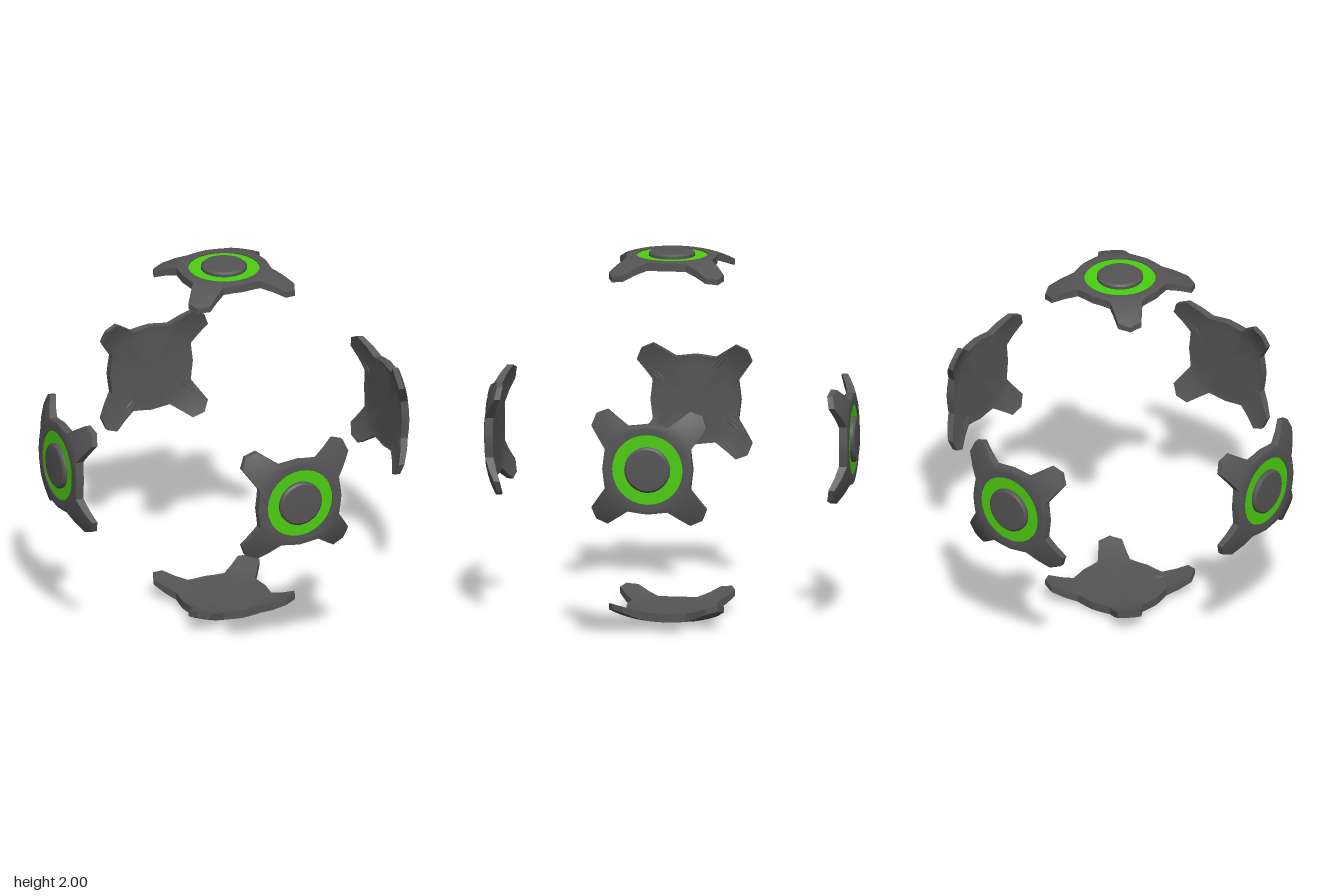
import * as THREE from 'three';
import { toCreasedNormals } from 'three/addons/utils/BufferGeometryUtils.js';

// One quarter of the four-armed outline; the rest is made by rotation
const QUARTER = [[0.243, 0], [0.23, 0.107], [0.31, 0.222], [0.285, 0.285], [0.222, 0.31], [0.107, 0.23]];
const RING_OUTER = 0.19;
const FLOOR = 0.971;

// Outline points around the whole plate, each edge split in two
function outline() {
  const corners = [];
  for (let q = 0; q < 4; q++) {
    const c = Math.round(Math.cos(q * Math.PI / 2)), s = Math.round(Math.sin(q * Math.PI / 2));
    for (const [x, y] of QUARTER) corners.push([x * c - y * s, x * s + y * c]);
  }
  return corners.flatMap((p, i) => {
    const n = corners[(i + 1) % corners.length];
    return [p, [(p[0] + n[0]) / 2, (p[1] + n[1]) / 2]];
  });
}

// The hub is flat, the arms bend inwards
function drop(r) {
  const d = Math.max(0, r - 0.23);
  return 0.25 * d + 1.1 * d * d;
}
const outerHeight = (r) => 0.979 - drop(r);
const innerHeight = (r) => 0.934 - 0.8 * drop(r);

// Closed shell built from loops: recess floor, recess wall, top, rim, underside
function plateGeometry() {
  const edge = outline();
  const n = edge.length;
  const steps = 5;
  const loops = [];
  const circle = (r, z) => edge.map(([x, y]) => {
    const k = r / Math.hypot(x, y);
    return [x * k, y * k, z];
  });
  loops.push(circle(0.0001, FLOOR), circle(RING_OUTER, FLOOR));
  for (let i = 0; i <= steps; i++) {
    const t = i / steps;
    loops.push(edge.map(([x, y]) => {
      const R = Math.hypot(x, y);
      const r = RING_OUTER + (R - RING_OUTER) * t;
      return [x * r / R, y * r / R, outerHeight(r)];
    }));
  }
  for (const t of [1, 0.9, 0.8, 0.7, 0.6, 0.0004]) {
    loops.push(edge.map(([x, y]) => [x * t, y * t, innerHeight(Math.hypot(x, y) * t)]));
  }
  const index = [];
  for (let j = 0; j < loops.length - 1; j++) {
    for (let i = 0; i < n; i++) {
      const k = (i + 1) % n;
      const a = j * n + i, b = j * n + k, c = (j + 1) * n + i, d = (j + 1) * n + k;
      index.push(a, c, b, b, c, d);
    }
  }
  const g = new THREE.BufferGeometry();
  g.setAttribute('position', new THREE.Float32BufferAttribute(loops.flat(2), 3));
  g.setIndex(index);
  return toCreasedNormals(g, 0.5);
}

// Raised centre button with a small bevel
function buttonGeometry() {
  const profile = [[0.123, 0.965], [0.123, 0.988], [0.112, 0.997], [0.06, 0.9993], [0, 1]]
    .map(([r, h]) => new THREE.Vector2(r, h));
  const g = new THREE.LatheGeometry(profile, 24);
  g.rotateX(Math.PI / 2);
  return toCreasedNormals(g, 0.5);
}

export function createModel() {
  const grey = new THREE.MeshStandardMaterial({ color: 0x555555 });
  grey.name = 'dark grey';
  const green = new THREE.MeshStandardMaterial({ color: 0x4ccf10 });
  green.name = 'bright green';

  const plate = plateGeometry();
  const button = buttonGeometry();
  const ring = new THREE.RingGeometry(0.118, RING_OUTER + 0.001, 48);
  ring.translate(0, 0, FLOOR + 0.002);

  const model = new THREE.Group();
  model.name = 'sphereOfPlates';
  const H = Math.PI / 2;
  const sides = {
    front: [0, 0], left: [0, H], back: [0, 2 * H], right: [0, -H], top: [-H, 0], bottom: [H, 0],
  };
  for (const [name, [rx, ry]] of Object.entries(sides)) {
    const panel = new THREE.Group();
    panel.name = name + 'Panel';
    for (const [part, geometry, material] of [
      ['armedPlate', plate, grey], ['glowRing', ring, green], ['centreButton', button, grey],
    ]) {
      const mesh = new THREE.Mesh(geometry, material);
      mesh.name = part;
      panel.add(mesh);
    }
    panel.rotation.set(rx, ry, 0);
    panel.position.y = 1;
    model.add(panel);
  }
  return model;
}
